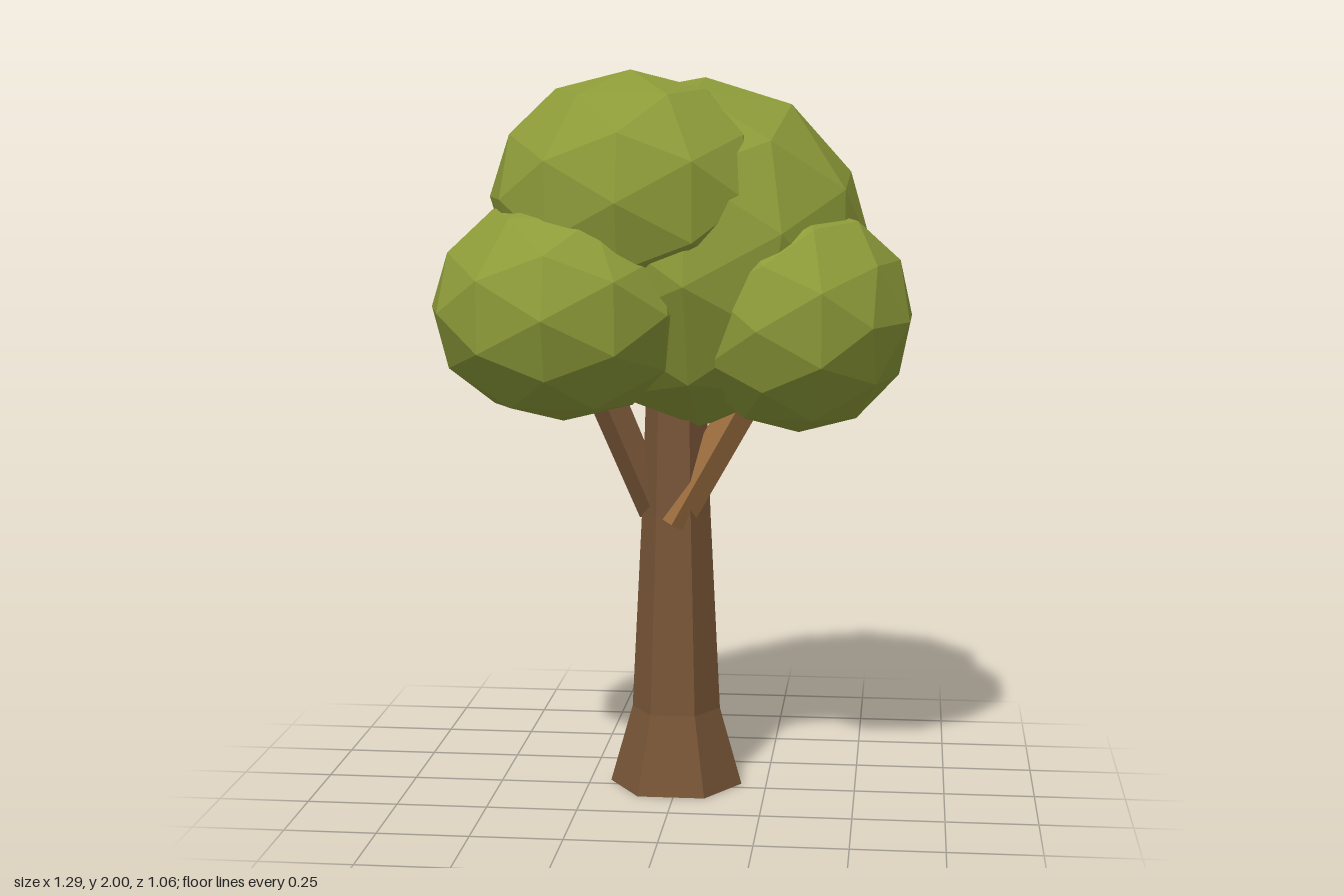
import * as THREE from 'three';

function material(name, color) {
  const m = new THREE.MeshStandardMaterial({ color, flatShading: true });
  m.name = name;
  return m;
}

export function createModel() {
  const tree = new THREE.Group();
  tree.name = 'tree';
  const bark = material('bark brown', 0x775537);
  const lightBark = material('light bark brown', 0x9a6c3e);
  const leaf = material('leaf green', 0x8d9b39);

  const add = (name, geometry, mat) => {
    const mesh = new THREE.Mesh(geometry, mat);
    mesh.name = name;
    tree.add(mesh);
    return mesh;
  };

  // Six-sided trunk with a flared foot
  const profile = [[0, 0], [0.186, 0], [0.124, 0.22], [0.096, 0.78], [0.083, 1.15], [0, 1.15]]
    .map(([r, y]) => new THREE.Vector2(r, y));
  const trunk = new THREE.LatheGeometry(profile, 6);
  trunk.rotateY(Math.PI / 6);
  trunk.scale(1, 1, 0.92);
  add('trunk', trunk, bark).position.set(-0.006, 0, -0.036);

  // Square branches, each running from the trunk into the crown
  const branch = (name, from, to, mat) => {
    const a = new THREE.Vector3(...from);
    const b = new THREE.Vector3(...to);
    const dir = b.clone().sub(a);
    const mesh = add(name, new THREE.CylinderGeometry(0.052, 0.048, dir.length(), 4), mat);
    mesh.position.copy(a).add(b).multiplyScalar(0.5);
    mesh.quaternion.setFromUnitVectors(new THREE.Vector3(0, 1, 0), dir.normalize());
  };
  branch('leftBranch', [-0.01, 0.755, 0.025], [0.21, 1.15, -0.05], lightBark);
  branch('rightBranch', [-0.065, 0.78, -0.045], [-0.23, 1.18, -0.01], bark);

  // Faceted crown lobes: name, centre, radii, tilt about x, turn about y
  const lobes = [
    ['rightLowerLeaves', [-0.295, 1.367, 0.14], [0.358, 0.308, 0.385], 0, 0],
    ['leftLowerLeaves', [0.335, 1.328, -0.022], [0.31, 0.315, 0.385], 0, -0.25],
    ['frontUpperLeaves', [-0.12, 1.66, 0.06], [0.385, 0.34, 0.35], 0, 0],
    ['mainLeaves', [0.06, 1.505, -0.09], [0.495, 0.485, 0.425], -0.2, 0.6],
  ];
  for (const [name, centre, radii, tilt, turn] of lobes) {
    const lobe = add(name, new THREE.IcosahedronGeometry(1, 1), leaf);
    lobe.position.set(...centre);
    lobe.scale.set(...radii);
    lobe.rotation.set(tilt, turn, 0);
  }
  return tree;
}
